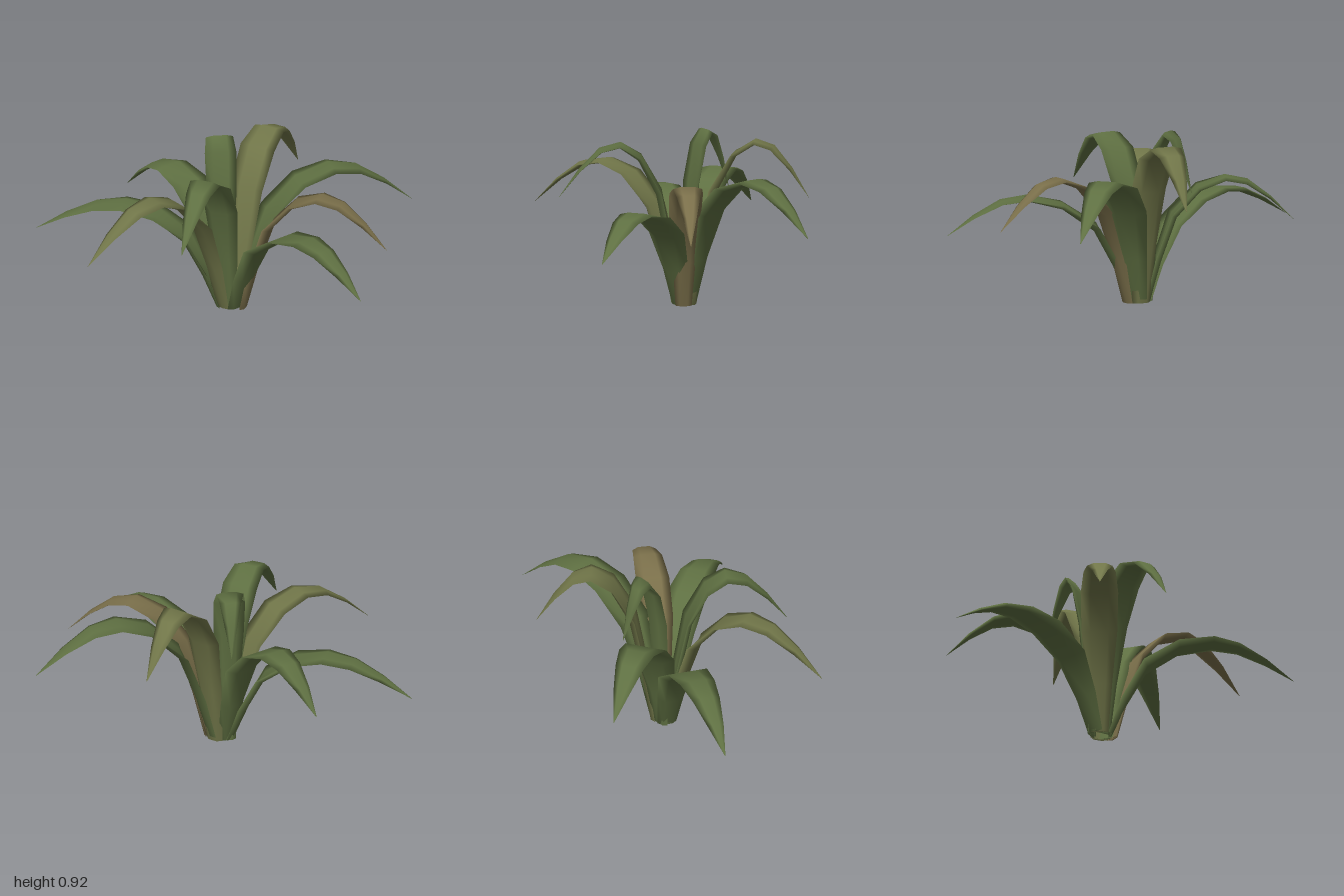
import * as THREE from 'three';

const GREEN = 0x5f7042, OLIVE = 0x717649, BROWN = 0x7a6f4a;

// name, root [x, z], tip [x, y, z], arch height, arch position (0 root..1 tip), full width, colour
const LEAVES = [
  ['leafBackRight', [-0.03, -0.11], [-0.48, 0.43, -0.745], 0.66, 0.53, 0.23, GREEN],
  ['leafBackLeft', [0.05, -0.12], [0.42, 0.59, -0.615], 0.885, 0.53, 0.21, OLIVE],
  ['leafLeft', [0.06, -0.09], [1.0, 0.48, -0.3], 0.73, 0.53, 0.23, GREEN],
  ['leafFrontLeftDry', [0.08, -0.04], [0.81, 0.46, 0.305], 0.705, 0.53, 0.18, BROWN],
  ['leafFrontLeft', [0.04, -0.04], [0.63, 0.37, 0.745], 0.57, 0.56, 0.22, GREEN],
  ['leafFront', [-0.01, -0.05], [-0.305, 0.57, 0.51], 0.855, 0.48, 0.2, GREEN],
  ['leafFrontRight', [-0.04, -0.06], [-0.795, 0.47, 0.39], 0.73, 0.5, 0.2, OLIVE],
  ['leafRight', [-0.05, -0.09], [-1.0, 0.355, -0.385], 0.54, 0.52, 0.22, GREEN],
  ['leafBack', [-0.03, -0.12], [-0.04, 0.6, -0.375], 0.915, 0.45, 0.17, GREEN],
];

// Stations along a leaf: [phase 0 rise / 1 droop, run, height, width, channel depth]
const STATIONS = [
  [0, 0, 0, 0.48, 0.3],
  [0, 0.14, 0.34, 0.68, 0.3],
  [0, 0.34, 0.7, 0.95, 0.22],
  [0, 0.66, 0.92, 1, 0.1],
  [0, 1, 1, 0.86, 0],
  [1, 0.32, 0.9, 0.68, -0.05],
  [1, 0.66, 0.52, 0.4, -0.05],
  [1, 1, 0, 0.015, 0],
];

// Thin lens section, walked around the leaf: [across, through]
const SECTION = [[-0.5, 1], [0.5, 1], [1, 0], [0.5, -1], [-0.5, -1], [-1, 0]];

function leafGeometry(root, tip, archY, archAt, width) {
  const dx = tip[0] - root[0], dz = tip[2] - root[1];
  const side = new THREE.Vector3(-dz, 0, dx).normalize();
  const spine = STATIONS.map(([phase, run, h]) => {
    const f = phase ? archAt + (1 - archAt) * run : archAt * run;
    const y = phase ? tip[1] + (archY - tip[1]) * h : archY * h;
    return new THREE.Vector3(root[0] + dx * f, y, root[1] + dz * f);
  });

  const pos = [], index = [], n = SECTION.length;
  spine.forEach((p, i) => {
    const before = spine[Math.max(i - 1, 0)];
    const after = spine[Math.min(i + 1, spine.length - 1)];
    const tangent = after.clone().sub(before).normalize();
    const normal = side.clone().cross(tangent);
    const half = width * STATIONS[i][3] / 2, channel = STATIONS[i][4];
    for (const [a, t] of SECTION) {
      // edges lift above the midrib to form the channel
      const lift = half * channel * (Math.abs(a) - 0.5) * 2 + t * 0.011 * Math.min(1, STATIONS[i][3] * 1.5);
      const v = p.clone().addScaledVector(side, a * half).addScaledVector(normal, lift);
      pos.push(v.x, i === 0 ? 0 : Math.max(0, v.y), v.z);
    }
    if (i === 0) return;
    for (let j = 0; j < n; j++) {
      const a = (i - 1) * n + j, b = (i - 1) * n + (j + 1) % n;
      index.push(a, b, a + n, b, b + n, a + n);
    }
  });
  // close the root
  for (let j = 1; j < n - 1; j++) index.push(0, j + 1, j);

  const geo = new THREE.BufferGeometry();
  geo.setAttribute('position', new THREE.Float32BufferAttribute(pos, 3));
  geo.setIndex(index);
  geo.computeVertexNormals();
  return geo;
}

export function createModel() {
  const plant = new THREE.Group();
  plant.name = 'plant';
  for (const [name, root, tip, archY, archAt, width, color] of LEAVES) {
    const material = new THREE.MeshStandardMaterial({ color, side: THREE.DoubleSide });
    const leaf = new THREE.Mesh(leafGeometry(root, tip, archY, archAt, width), material);
    leaf.name = name;
    plant.add(leaf);
  }
  return plant;
}
